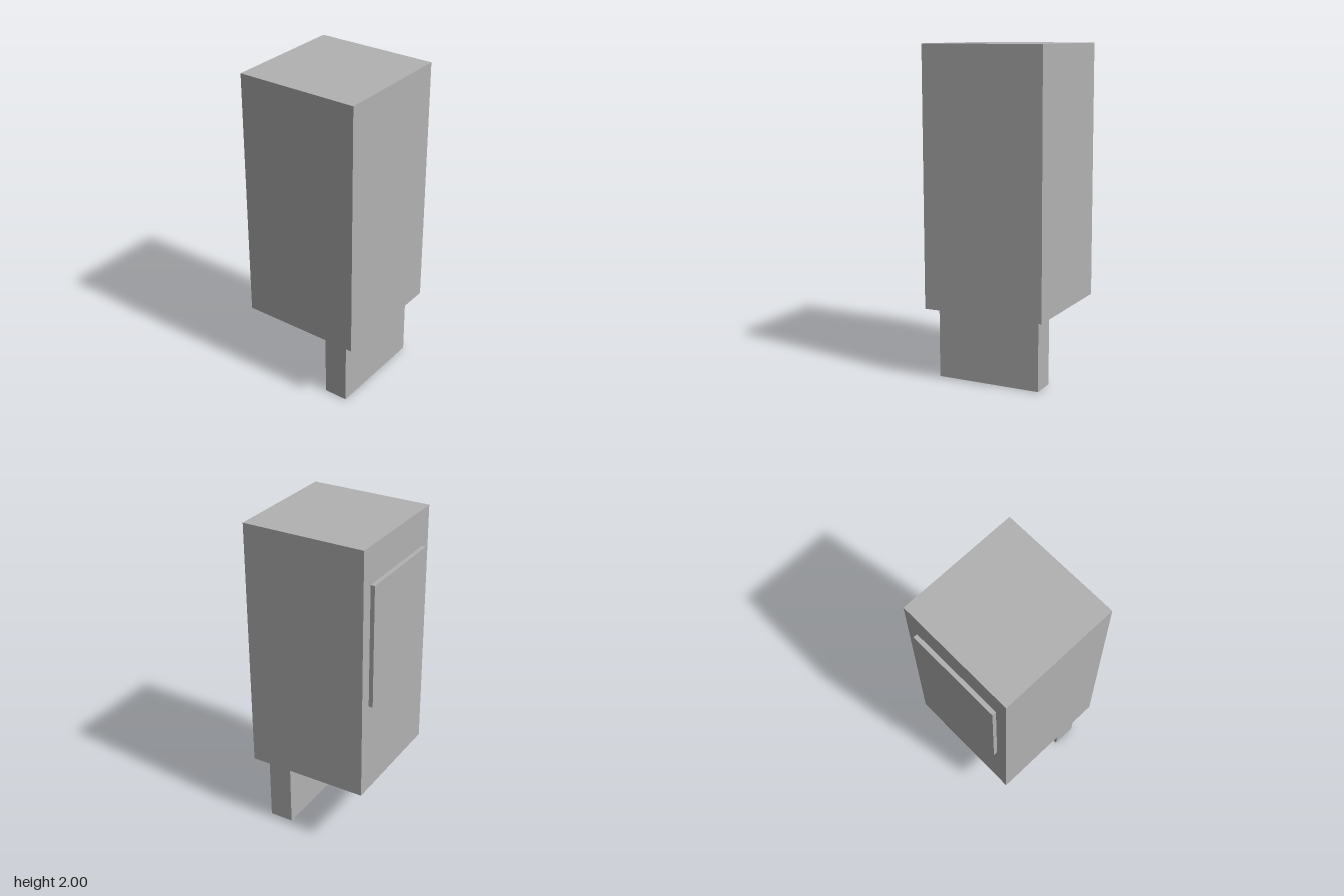
import * as THREE from 'three';

export function createModel() {
  const model = new THREE.Group();
  const grey = new THREE.MeshStandardMaterial({ color: 0xb2b2b2 });
  grey.name = 'plain grey';

  // Box given by its lower and upper corners
  function block(name, [x0, y0, z0], [x1, y1, z1]) {
    const mesh = new THREE.Mesh(new THREE.BoxGeometry(x1 - x0, y1 - y0, z1 - z0), grey);
    mesh.position.set((x0 + x1) / 2, (y0 + y1) / 2, (z0 + z1) / 2);
    mesh.name = name;
    model.add(mesh);
  }

  // Tall cabinet
  block('cabinet', [-0.38, 0.435, -0.367], [0.38, 2, 0.393]);
  // Raised panel on the back
  block('backPanel', [-0.304, 1.015, -0.393], [0.304, 1.775, -0.367]);
  // Slab foot under the front half
  block('foot', [-0.326, 0, 0.166], [0.326, 0.435, 0.317]);

  return model;
}
